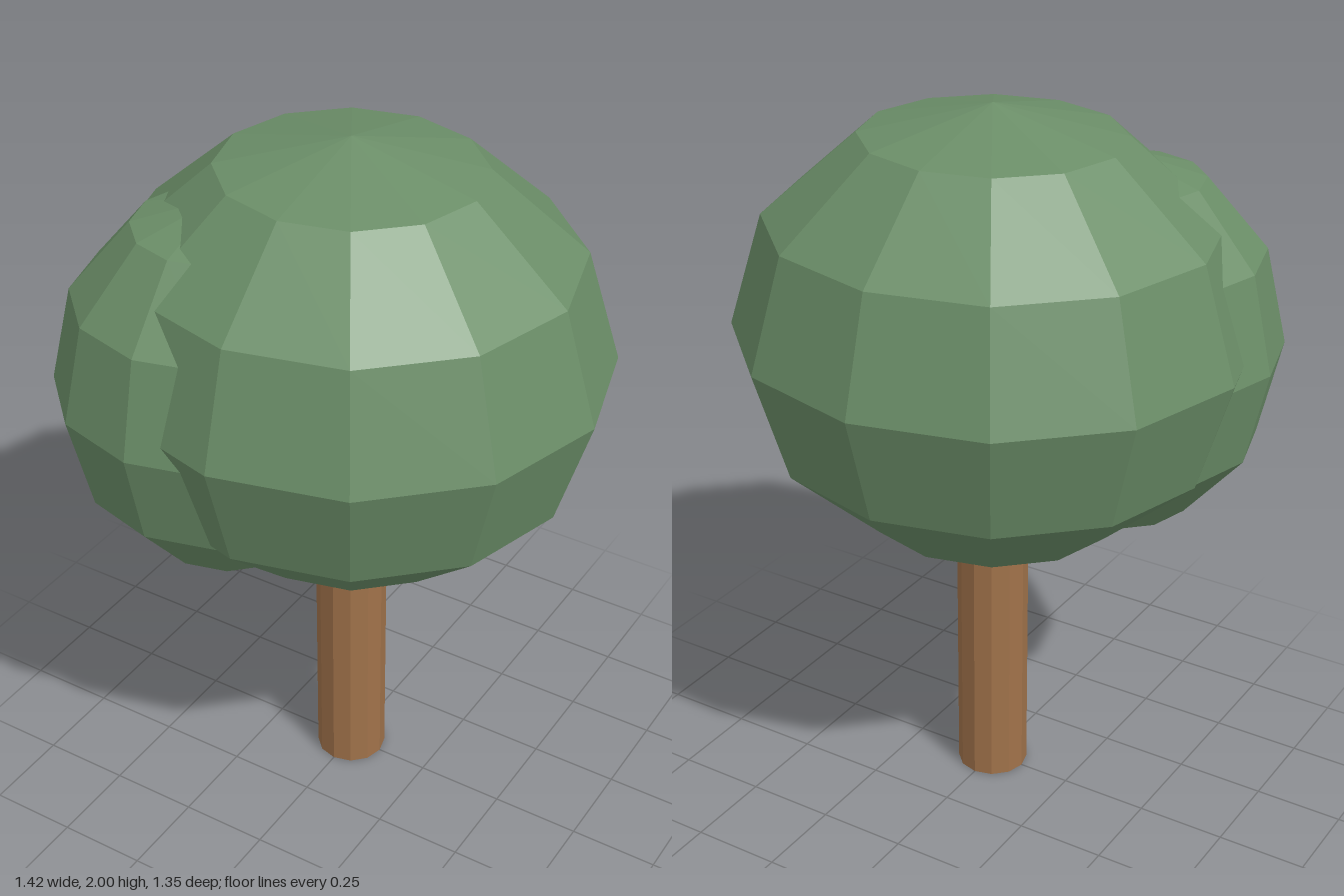
import * as THREE from 'three';

export function createModel() {
  const tree = new THREE.Group();
  tree.name = 'tree';

  const leaves = new THREE.MeshStandardMaterial({ color: 0x6b8e68, flatShading: true });
  const bark = new THREE.MeshStandardMaterial({ color: 0xa0724a, flatShading: true });

  // Faceted ellipsoid of foliage
  function addFoliage(name, position, radii) {
    const mesh = new THREE.Mesh(new THREE.SphereGeometry(1, 12, 6).scale(...radii), leaves);
    mesh.name = name;
    mesh.position.set(...position);
    tree.add(mesh);
  }

  addFoliage('mainCanopy', [0, 1.38, 0], [0.71, 0.62, 0.675]);
  addFoliage('sideCanopy', [-0.25, 1.325, 0.22], [0.46, 0.535, 0.45]);

  // Trunk, running up into the canopy
  const height = 0.95;
  const trunk = new THREE.Mesh(new THREE.CylinderGeometry(0.1, 0.1, height, 12), bark);
  trunk.name = 'trunk';
  trunk.position.y = height / 2;
  tree.add(trunk);

  return tree;
}
